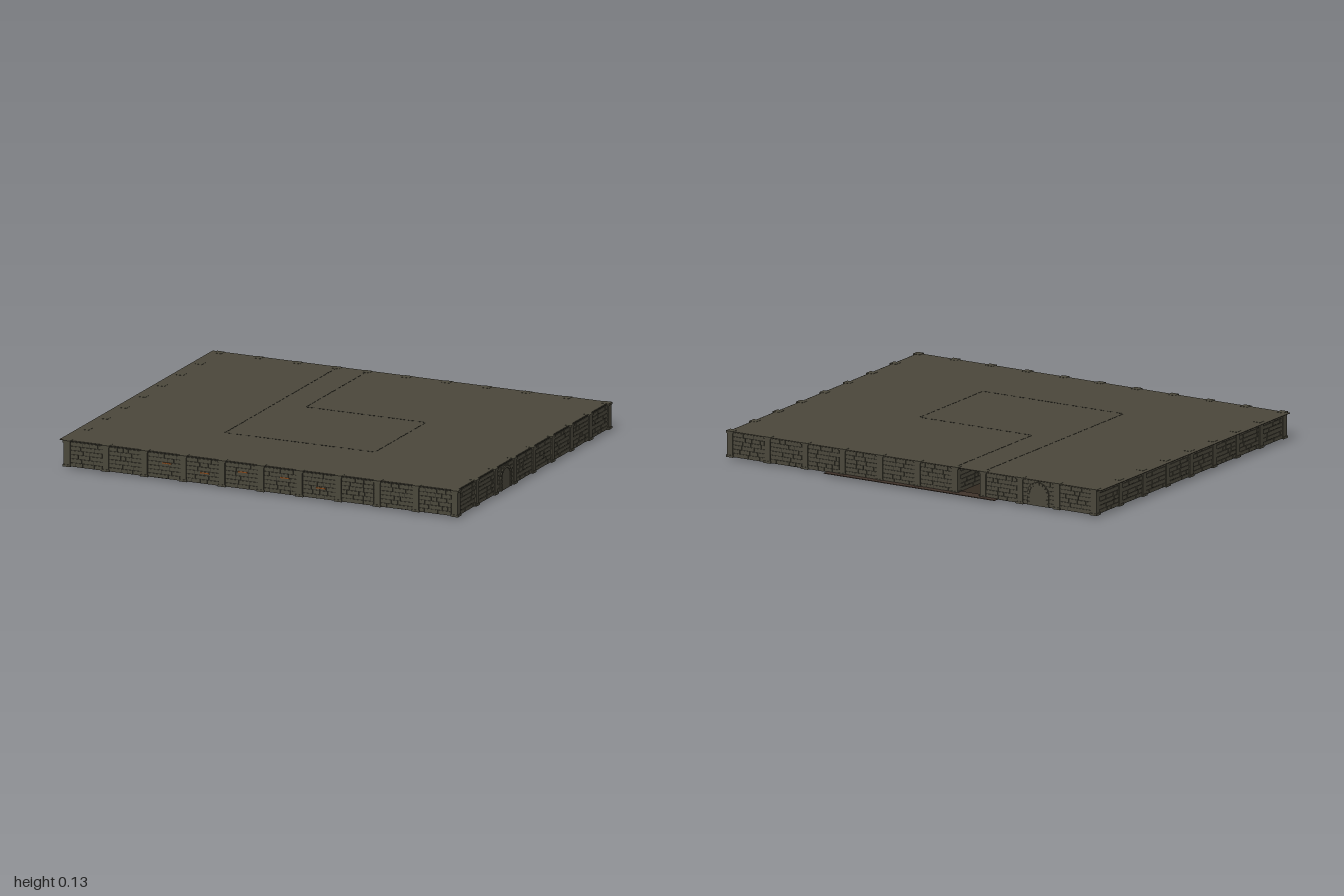
import * as THREE from 'three';
import { mergeGeometries } from 'three/addons/utils/BufferGeometryUtils.js';

const FLOOR = 0.012, ROOF = 0.132;
const material = (color) => new THREE.MeshStandardMaterial({ color, flatShading: true });
const stone = material(0x4a473b), roofStone = material(0x4a463a), mortar = material(0x2b2a23);
const wood = material(0x40332a), floorBrown = material(0x332a21), rust = material(0x8a4a1c);

// Small seeded generator for the irregular masonry
let seed = 7;
const rand = () => (seed = (seed * 16807) % 2147483647) / 2147483647;

function boxAt(w, h, d, x, y, z) {
  return new THREE.BoxGeometry(w, h, d).translate(x, y, z);
}

function add(parent, name, geometry, mat) {
  const mesh = new THREE.Mesh(geometry, mat);
  mesh.name = name;
  parent.add(mesh);
  return mesh;
}

// Rows of raised stones of varying length between two posts, on both wall faces
function masonry(list, x0, x1) {
  const rows = 6, rowH = (ROOF - 0.004 - FLOOR) / rows;
  for (const side of [1, -1]) {
    for (let r = 0; r < rows; r++) {
      let x = x0;
      while (x < x1 - 0.004) {
        let w = 0.025 + rand() * 0.045;
        if (x + w > x1 - 0.015) w = x1 - x;
        const depth = 0.002 + rand() * 0.002;
        list.push(boxAt(w - 0.0025, rowH - 0.0025, depth, x + w / 2,
          FLOOR + rowH * (r + 0.5), side * (0.009 + depth / 2)));
        x += w;
      }
    }
  }
}

// Post with a wider foot and head
function post(list, x) {
  const h = ROOF + 0.002 - FLOOR;
  list.push(boxAt(0.03, h - 0.004, 0.031, x, FLOOR + h / 2, 0));
  list.push(boxAt(0.038, 0.01, 0.036, x, FLOOR + 0.003, 0));
  list.push(boxAt(0.038, 0.01, 0.036, x, ROOF - 0.004, 0));
}

// Wall from a to b, local +z is its outer face
function wall(parent, name, [ax, az], [bx, bz], bays, inner = false) {
  const group = new THREE.Group();
  group.name = name;
  group.position.set((ax + bx) / 2, 0, (az + bz) / 2);
  group.rotation.y = Math.atan2(-(bz - az), bx - ax);
  const length = Math.hypot(bx - ax, bz - az), step = length / bays;
  const h = ROOF - 0.002 - FLOOR;
  add(group, 'wallCore', boxAt(length, h, 0.018, 0, FLOOR + h / 2, 0), mortar);
  const stones = [], posts = [], ridge = [];
  for (let i = 0; i <= bays; i++) {
    const x = -length / 2 + i * step;
    if (inner) posts.push(boxAt(0.03, h, 0.031, x, FLOOR + h / 2, 0));
    else post(posts, x);
    if (i === bays) break;
    masonry(stones, x + 0.016, x + step - 0.016);
    // Uneven coping stones that just break through the roof
    if (inner) for (let k = 0; k < 4; k++)
      ridge.push(boxAt(step * (0.12 + rand() * 0.1), 0.006, 0.004, x + step * (k + 0.5) / 4, ROOF - 0.002, 0));
  }
  add(group, 'wallStones', mergeGeometries(stones), stone);
  add(group, 'wallPosts', mergeGeometries(posts), stone);
  if (ridge.length) add(group, 'copingStones', mergeGeometries(ridge), mortar);
  parent.add(group);
  return group;
}

// Arched door set against the outer face of a wall
function archedDoor(parent, x) {
  const door = new THREE.Group();
  door.name = 'archedDoor';
  const r = 0.045, spring = 0.065 - FLOOR;
  const shape = new THREE.Shape();
  shape.moveTo(-r, 0);
  shape.lineTo(r, 0);
  shape.lineTo(r, spring);
  shape.absarc(0, spring, r, 0, Math.PI, false);
  shape.closePath();
  add(door, 'doorLeaf', new THREE.ExtrudeGeometry(shape, { depth: 0.015, bevelEnabled: false, curveSegments: 10 }), stone);
  const blocks = [];
  for (let i = 0; i < 9; i++) {
    const a = Math.PI * (i + 0.5) / 9;
    blocks.push(new THREE.BoxGeometry(0.013, 0.016, 0.018).rotateZ(a)
      .translate(Math.cos(a) * (r + 0.006), spring + Math.sin(a) * (r + 0.006), 0.009));
  }
  for (const s of [-1, 1]) for (let i = 0; i < 3; i++)
    blocks.push(boxAt(0.013, spring / 3 - 0.002, 0.018, s * (r + 0.006), spring * (i + 0.5) / 3, 0.009));
  add(door, 'archStones', mergeGeometries(blocks), stone);
  door.position.set(x, FLOOR, 0);
  parent.add(door);
}

export function createModel() {
  seed = 7;
  const model = new THREE.Group();
  model.name = 'walledRooms';

  // Thin floor, roof and the threshold strip behind the back wall
  add(model, 'floor', boxAt(1.95, 0.003, 1.61, 0.008, FLOOR, 0.012), floorBrown);
  add(model, 'roof', boxAt(1.983, 0.003, 1.617, -0.008, ROOF - 0.0015, 0.0065), roofStone);
  add(model, 'threshold', boxAt(0.91, 0.003, 0.06, 0.005, FLOOR + 0.002, -0.8), wood);

  // Outer walls, with the corridor opening at the back
  const L = -0.96, R = 0.979, F = 0.81, B = -0.786;
  const front = wall(model, 'frontWall', [L, F], [R, F], 10);
  const right = wall(model, 'sideWallWithDoor', [R, F], [R, B], 8);
  wall(model, 'backWallLong', [R, B], [-0.22, B], 6);
  const backShort = wall(model, 'backWallShort', [-0.37, B], [L, B], 3);
  wall(model, 'plainSideWall', [L, B], [L, F], 8);
  archedDoor(right, -0.3);
  archedDoor(backShort, 0);

  // Rusty stones in the front wall
  const rusty = [[-0.46, 0.085], [-0.27, 0.062], [-0.08, 0.09], [0.13, 0.088], [0.31, 0.062]];
  add(front, 'rustyStones', mergeGeometries(rusty.map(([x, y]) =>
    boxAt(0.045, 0.005, 0.005, x - (L + R) / 2, y, 0.0115))), rust);

  // Inner room and the corridor leading to it
  wall(model, 'roomFrontWall', [-0.37, 0.4], [0.38, 0.4], 4, true);
  wall(model, 'roomSideWall', [0.38, 0.4], [0.38, -0.14], 3, true);
  wall(model, 'roomBackWall', [0.38, -0.14], [-0.22, -0.14], 3, true);
  wall(model, 'corridorInnerWall', [-0.22, -0.14], [-0.22, B], 3, true);
  wall(model, 'corridorOuterWall', [-0.37, B], [-0.37, 0.4], 6, true);

  // Rounded stones showing under the floor
  for (const [x, z] of [[-0.87, 0.71], [-0.16, -0.59], [-0.11, -0.73]]) {
    const s = add(model, 'floorStone', new THREE.SphereGeometry(0.02, 8, 6), stone);
    s.scale.y = 0.6;
    s.position.set(x, FLOOR, z);
  }
  // Brown patches on the underside
  for (const [x, z] of [[-0.53, 0.03], [-0.54, 0.44], [-0.32, -0.46]]) {
    const patch = add(model, 'floorPatch', new THREE.CylinderGeometry(0.022, 0.022, 0.004, 8), wood);
    patch.position.set(x, FLOOR - 0.001, z);
  }
  return model;
}
